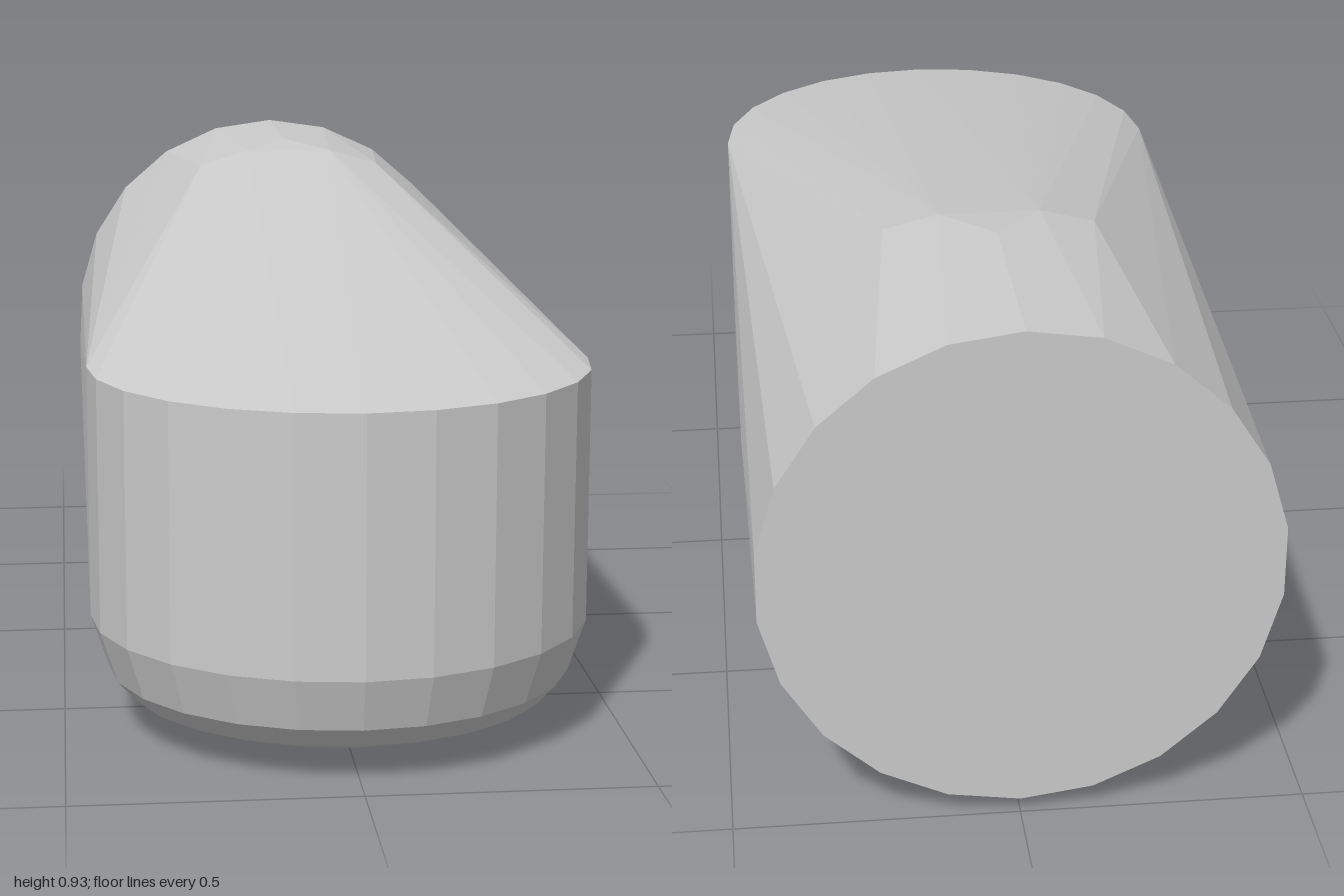
import * as THREE from 'three';
import { ConvexGeometry } from 'three/addons/geometries/ConvexGeometry.js';

export function createModel() {
  const group = new THREE.Group();
  const points = [];
  const add = (x, y, z) => points.push(new THREE.Vector3(x, y, z));

  // Round flat back end
  const radius = 0.45, centreY = 0.477, sides = 22;
  for (let i = 0; i < sides; i++) {
    const a = (i / sides) * Math.PI * 2;
    add(radius * Math.sin(a), centreY + radius * Math.cos(a), -1);
  }

  // Crown where the round back meets the sloping top
  add(0, 0.927, -0.6);
  for (const s of [-1, 1]) {
    add(s * 0.09, 0.915, -0.48);
    add(s * 0.19, 0.886, -0.47);
    add(s * 0.455, 0.49, -0.5);
  }

  // Rounded nose: half rings of [height, scale], from the rim down to the belly
  const rings = [[0.657, 1], [0.2, 1], [0.105, 0.93], [0.065, 0.85], [0.033, 0.66], [0.01, 0.38]];
  const steps = 12;
  for (const [y, scale] of rings) {
    for (let i = 0; i <= steps; i++) {
      const a = (i / steps) * Math.PI;
      add(0.45 * scale * Math.cos(a), y, 0.57 + 0.43 * scale * Math.sin(a));
    }
  }
  add(0, 0, 0.55);

  const body = new THREE.Mesh(
    new ConvexGeometry(points),
    new THREE.MeshStandardMaterial({ color: 0xcccccc, flatShading: true })
  );
  body.name = 'body';
  group.add(body);
  return group;
}
